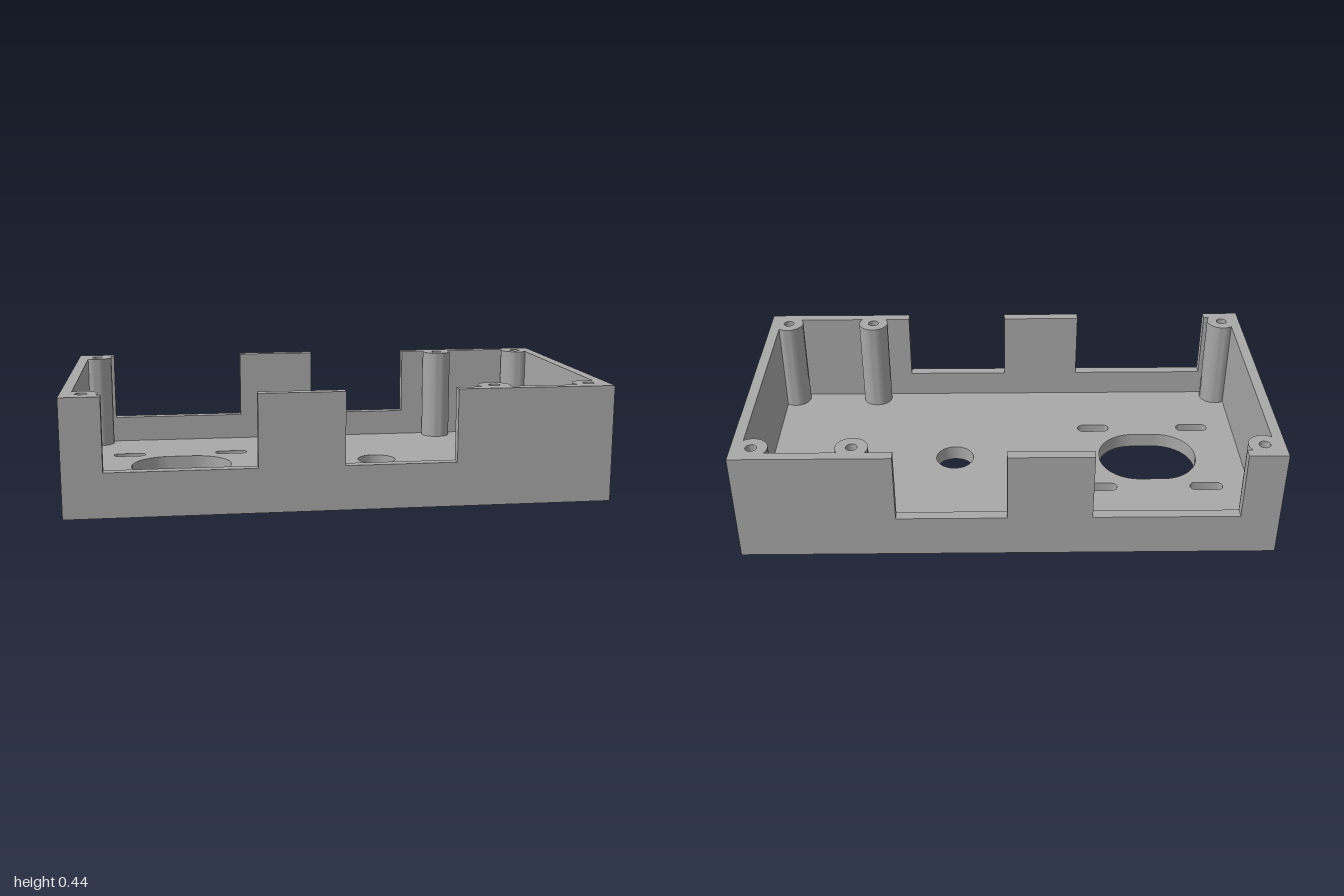
import * as THREE from 'three';
import { toCreasedNormals } from 'three/addons/utils/BufferGeometryUtils.js';

const W = 1, D = 0.54, H = 0.435;   // half width, half depth, height
const WALL = 0.04, FLOOR = 0.06, SILL = 0.165;

// Rounded rectangle outline, centred on (x, y)
function rounded(target, x, y, w, h, r) {
  const a = w / 2 - r, b = h / 2 - r;
  target.moveTo(x + a + r, y - b);
  target.absarc(x + a, y + b, r, 0, Math.PI / 2);
  target.absarc(x - a, y + b, r, Math.PI / 2, Math.PI);
  target.absarc(x - a, y - b, r, Math.PI, Math.PI * 1.5);
  target.absarc(x + a, y - b, r, Math.PI * 1.5, Math.PI * 2);
  return target;
}

function polygon(points) {
  return new THREE.Shape(points.map(([x, y]) => new THREE.Vector2(x, y)));
}

function extrude(shape, depth) {
  const g = new THREE.ExtrudeGeometry(shape, { depth, bevelEnabled: false, curveSegments: 20 });
  return toCreasedNormals(g, 0.6);
}

export function createModel() {
  const group = new THREE.Group();
  const grey = new THREE.MeshStandardMaterial({ color: 0xa8a8a8 });
  grey.name = 'grey';

  function add(name, geometry, x = 0, y = 0, z = 0) {
    const mesh = new THREE.Mesh(geometry, grey);
    mesh.name = name;
    mesh.position.set(x, y, z);
    group.add(mesh);
    return mesh;
  }

  // Floor plate with the large opening, four slots and a round hole
  const floor = polygon([[-W, -D], [W, -D], [W, D], [-W, D]]);
  floor.holes.push(rounded(new THREE.Path(), -0.578, 0, 0.395, 0.318, 0.152));
  for (const x of [-0.79, -0.37]) {
    for (const z of [-0.21, 0.21]) {
      floor.holes.push(rounded(new THREE.Path(), x, z, 0.13, 0.048, 0.0235));
    }
  }
  const round = new THREE.Path();
  round.absarc(0.213, 0, 0.076, 0, Math.PI * 2);
  floor.holes.push(round);
  add('floor', extrude(floor, FLOOR).rotateX(-Math.PI / 2));

  // Front and back walls, each with two wide notches
  const profile = polygon([
    [-W, FLOOR], [W, FLOOR], [W, H], [0.415, H], [0.415, SILL], [0.005, SILL],
    [0.005, H], [-0.31, H], [-0.31, SILL], [-0.855, SILL], [-0.855, H], [-W, H],
  ]);
  const longWall = extrude(profile, WALL);
  add('frontWall', longWall, 0, 0, D - WALL);
  add('backWall', longWall, 0, 0, -D);

  // Plain end walls
  const endWall = new THREE.BoxGeometry(WALL, H - FLOOR, 2 * (D - WALL));
  for (const s of [-1, 1]) {
    add(s > 0 ? 'leftWall' : 'rightWall', endWall, s * (W - WALL / 2), (H + FLOOR) / 2, 0);
  }

  // Hollow screw posts along both long walls
  const ring = new THREE.Shape();
  ring.absarc(0, 0, 0.06, 0, Math.PI * 2);
  const bore = new THREE.Path();
  bore.absarc(0, 0, 0.021, 0, Math.PI * 2);
  ring.holes.push(bore);
  const post = extrude(ring, H - FLOOR).rotateX(-Math.PI / 2);
  for (const x of [-0.925, 0.565, 0.925]) {
    for (const z of [-0.467, 0.467]) add('screwPost', post, x, FLOOR, z);
  }

  return group;
}
